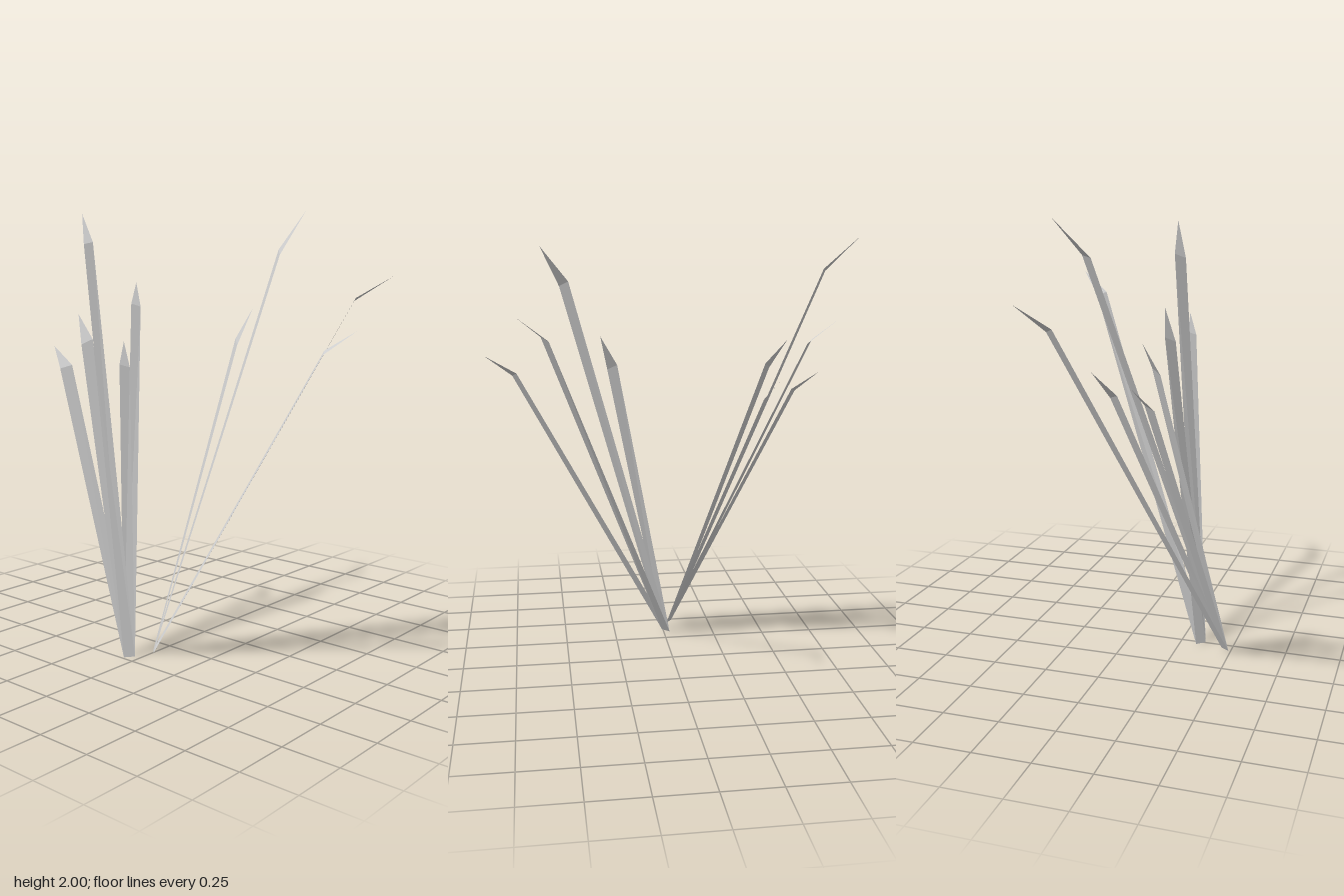
import * as THREE from 'three';

// Each blade: left shoulder, right shoulder, tip
const TUFTS = [
  {
    name: 'backTuft',
    base: [[-0.49, 0, -0.06], [-0.45, 0, -0.03]],
    blades: [
      [[-0.3, 1.25, -0.655], [-0.25, 1.265, -0.625], [-0.24, 1.35, -0.76]],
      [[-0.285, 1.37, -0.52], [-0.24, 1.395, -0.49], [-0.23, 1.51, -0.595]],
      [[-0.065, 1.845, -0.725], [-0.022, 1.855, -0.705], [0.045, 2, -0.85]],
      [[0.148, 1.55, -0.61], [0.185, 1.535, -0.58], [0.28, 1.655, -0.7]],
      [[-0.083, 1.265, -0.47], [-0.042, 1.25, -0.44], [0.01, 1.37, -0.53]],
    ],
  },
  {
    name: 'frontTuft',
    base: [[-0.365, 0, 0.005], [-0.327, 0, -0.03]],
    blades: [
      [[0.333, 1.595, 0.6], [0.372, 1.58, 0.568], [0.485, 1.69, 0.7]],
      [[-0.115, 1.375, 0.728], [-0.075, 1.39, 0.708], [-0.05, 1.475, 0.85]],
      [[-0.114, 1.78, 0.505], [-0.068, 1.803, 0.465], [-0.05, 1.96, 0.59]],
      [[-0.125, 1.395, 0.29], [-0.083, 1.42, 0.247], [-0.06, 1.555, 0.325]],
    ],
  },
];

// Flat stem strip with a bent triangular point
function bladeGeometry([a, b], [c, d, tip]) {
  const corners = [a, b, d, a, d, c, c, d, tip];
  const geometry = new THREE.BufferGeometry();
  geometry.setAttribute('position', new THREE.Float32BufferAttribute(corners.flat(), 3));
  geometry.computeVertexNormals();
  return geometry;
}

export function createModel() {
  const model = new THREE.Group();
  model.name = 'grass';
  const grey = new THREE.MeshStandardMaterial({ color: 0xcccccc, side: THREE.DoubleSide, flatShading: true });
  grey.name = 'light grey';

  for (const { name, base, blades } of TUFTS) {
    const tuft = new THREE.Group();
    tuft.name = name;
    blades.forEach((blade, i) => {
      const mesh = new THREE.Mesh(bladeGeometry(base, blade), grey);
      mesh.name = `blade${i + 1}`;
      tuft.add(mesh);
    });
    model.add(tuft);
  }
  return model;
}
